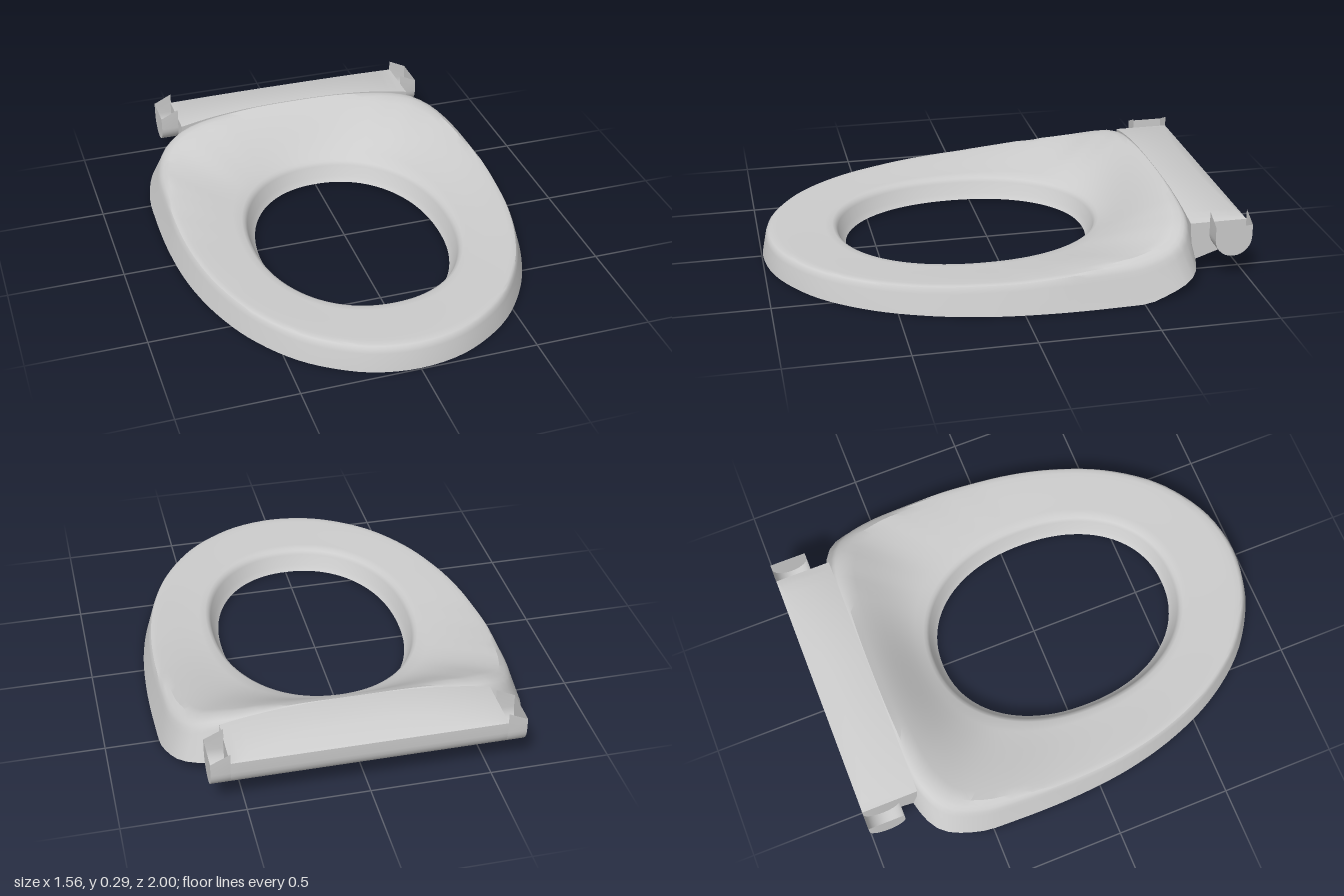
import * as THREE from 'three';
import { toCreasedNormals } from 'three/addons/utils/BufferGeometryUtils.js';

const V = (x, y, z) => new THREE.Vector3(x, y, z);
const lerp = THREE.MathUtils.lerp;

// Joins rings of points into a skin; options close the section and cap the ends.
function loft(rings, { closed = true, capStart = false, capEnd = false } = {}) {
  const n = rings[0].length, pos = [], idx = [];
  rings.forEach(r => r.forEach(p => pos.push(p.x, p.y, p.z)));
  for (let i = 0; i < rings.length - 1; i++) {
    for (let j = 0; j < (closed ? n : n - 1); j++) {
      const k = (j + 1) % n, a = i * n + j, b = i * n + k;
      idx.push(a, b, a + n, b, b + n, a + n);
    }
  }
  const last = (rings.length - 1) * n;
  for (let j = 1; j < n - 1; j++) {
    if (capStart) idx.push(0, j + 1, j);
    if (capEnd) idx.push(last, last + j, last + j + 1);
  }
  const g = new THREE.BufferGeometry();
  g.setAttribute('position', new THREE.Float32BufferAttribute(pos, 3));
  g.setIndex(idx);
  return toCreasedNormals(g, 0.6);
}

// Closed, evenly spaced loop starting at the front and turning toward +x.
function loop(points, count) {
  const c = new THREE.CatmullRomCurve3(points, true, 'centripetal');
  c.arcLengthDivisions = 800;
  return c.getSpacedPoints(count).slice(0, count);
}

// Height of the upper rim: rises toward the back, falls off in an arch toward the sides
const RIM = [[-0.755, 0.318], [-0.7, 0.29], [-0.6, 0.242], [-0.5, 0.213], [-0.4, 0.192], [-0.2, 0.167],
  [0, 0.152], [0.4, 0.14], [0.95, 0.134]];
const arch = x => 0.318 - 0.05 * Math.pow(Math.abs(x) / 0.56, Math.abs(x) < 0.56 ? 2.5 : 4);
function rimHeight(x, z) {
  let y = z < 0 ? RIM[0][1] : RIM[RIM.length - 1][1];
  for (let i = 0; i < RIM.length - 1; i++) {
    const [z0, y0] = RIM[i], [z1, y1] = RIM[i + 1];
    if (z >= z0 && z <= z1) y = lerp(y0, y1, (z - z0) / (z1 - z0));
  }
  return Math.min(y, arch(x));
}
const baseHeight = z => 0.025 + Math.max(0, -0.52 - z) * 0.28;

function seatGeometry() {
  const N = 112;
  const half = [[0.18, 0.967], [0.32, 0.9], [0.46, 0.79], [0.6, 0.6], [0.695, 0.38], [0.752, 0.15],
    [0.778, -0.1], [0.78, -0.38], [0.765, -0.58], [0.705, -0.72], [0.56, -0.785], [0.3, -0.79]];
  const outer = loop([V(0, 0, 0.995), ...half.map(([x, z]) => V(x, 0, z)), V(0, 0, -0.79),
    ...half.slice().reverse().map(([x, z]) => V(-x, 0, z))], N);
  // Egg-like opening, grown outward by e
  const hole = e => loop(Array.from({ length: 48 }, (_, i) => {
    const t = i / 48 * Math.PI * 2, s = Math.sin(t), c = Math.cos(t), k = 0.93;
    return V((0.41 + e) * Math.sign(s) * Math.abs(s) ** k, 0, 0.095 + (0.535 + e) * Math.sign(c) * Math.abs(c) ** k);
  }), N);
  const lip = hole(0.055);
  const holeTop = 0.128, F = 0.22;
  const at = (j, f) => outer[j].clone().lerp(lip[j], f);
  const ring = (f, height) => outer.map((_, j) => {
    const p = at(j, f);
    return p.setY(height(p, j));
  });
  // Rounded shoulder: the wall leans in further along the sides
  const shoulder = (front, side, drop) => outer.map((o, j) => {
    const p = at(j, lerp(front, side, (o.x / 0.78) ** 2));
    return p.setY(rimHeight(p.x, p.z) - drop);
  });
  // Dish running from the rim down to the opening
  const dish = (f, drop = 0) => ring(f, (p, j) => {
    const r = at(j, F), u = (f - F) / (1 - F);
    return lerp(rimHeight(r.x, r.z), holeTop, lerp(u, u * u * (3 - 2 * u), 0.3)) - drop;
  });
  const holeRing = (e, y) => hole(e).map(p => p.setY(y));
  const rings = [
    // outer wall and shoulder
    ring(0, p => baseHeight(p.z)),
    shoulder(0.05, 0.1, 0.03),
    shoulder(0.07, 0.12, 0.012),
    shoulder(0.1, 0.14, 0.003),
    shoulder(0.13, 0.17, 0),
    // dished top
    ...[F, 0.3, 0.4, 0.5, 0.6, 0.7, 0.8, 0.9, 1].map(f => dish(f)),
    // flange around the opening
    holeRing(0.042, 0.121), holeRing(0.032, 0.105), holeRing(0.018, 0.055),
    holeRing(0, 0.032), holeRing(0.012, 0.028), holeRing(0.034, 0.05), holeRing(0.052, 0.1),
    // underside and inner wall
    ...[0.96, 0.8, 0.6, 0.4, F].map(f => dish(f, 0.022)),
    shoulder(0.13, 0.17, 0.03),
    shoulder(0.085, 0.14, 0.048),
    ring(0.035, p => baseHeight(p.z)),
  ];
  rings.push(rings[0]);
  return loft(rings);
}

// Rounded lower back of the hinge, from the rear face down to the underside
const barrel = (x, from, to, steps) => Array.from({ length: steps + 1 }, (_, i) => {
  const a = lerp(from, to, i / steps);
  return V(x, 0.22 + 0.08 * Math.sin(a), -0.92 + 0.08 * Math.cos(a));
});

function hingeGeometry() {
  const rings = [];
  for (let i = 0; i <= 28; i++) {
    const x = 0.56 - 1.12 * i / 28, y = arch(x);
    const crease = Math.max(-0.999, -1 + (y - 0.268) / 0.62);
    rings.push([V(x, y, -0.755), V(x, y, crease), V(x, 0.268, -1),
      ...barrel(x, Math.PI, Math.PI * 1.58, 8), V(x, 0.098, -0.77)]);
  }
  return loft(rings, { capStart: true, capEnd: true });
}

// Open-topped socket whose side walls slope down to the end face
function socketGeometry(side) {
  const section = (x, top) => [V(x, top, -1), ...barrel(x, Math.PI, Math.PI * 2, 14), V(x, top, -0.84)];
  const end = section(0.638 * side, 0.275), root = section(0.558 * side, 0.313);
  return side > 0
    ? loft([end, root], { closed: false, capStart: true })
    : loft([root, end], { closed: false, capEnd: true });
}

export function createModel() {
  const model = new THREE.Group();
  model.name = 'toiletSeat';
  const grey = new THREE.MeshStandardMaterial({ color: 0xcccccc, side: THREE.DoubleSide });
  grey.name = 'light grey';
  const add = (name, geometry) => {
    const mesh = new THREE.Mesh(geometry, grey);
    mesh.name = name;
    model.add(mesh);
  };
  add('seatRing', seatGeometry());
  add('hingeBar', hingeGeometry());
  add('leftHingeSocket', socketGeometry(1));
  add('rightHingeSocket', socketGeometry(-1));
  return model;
}
